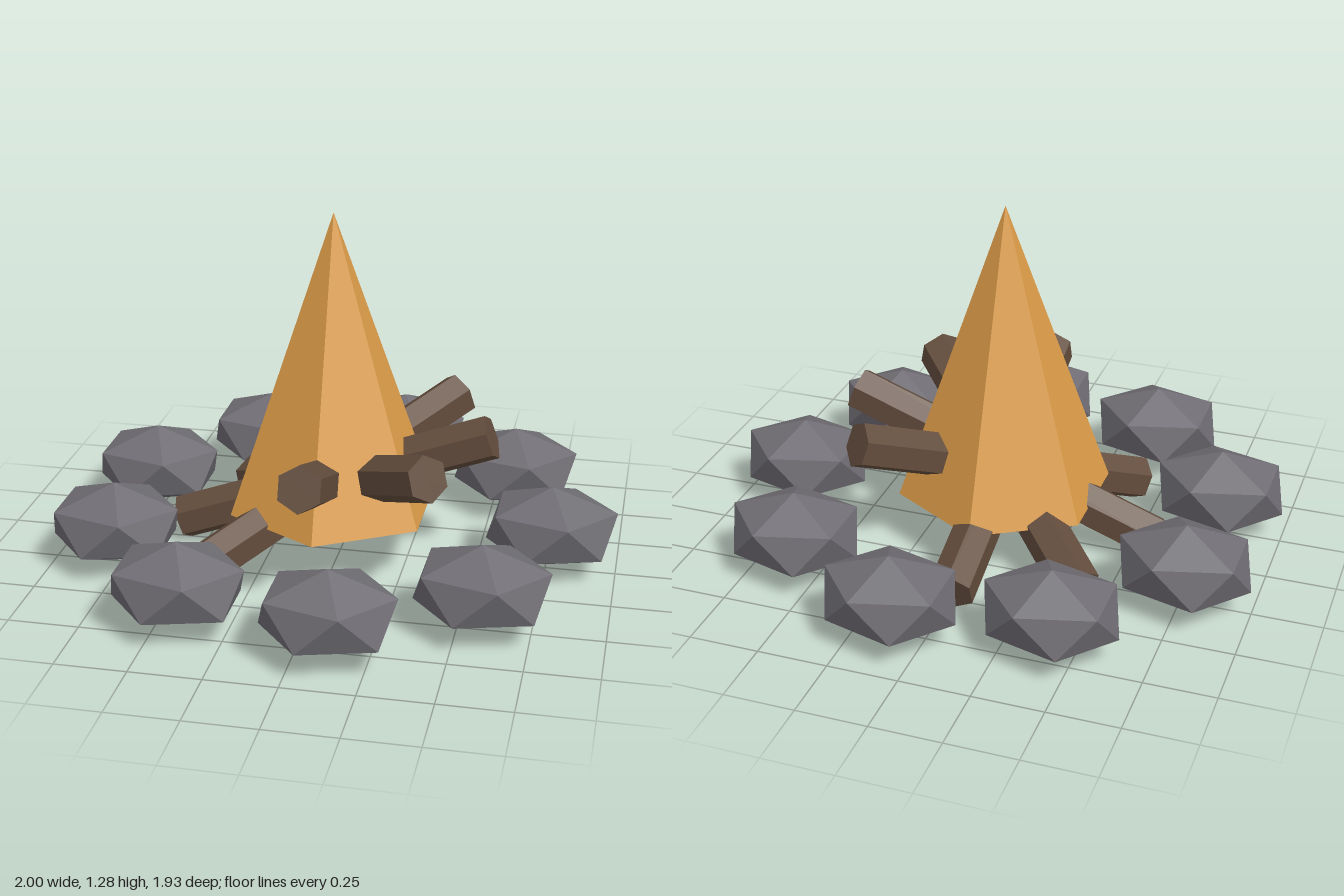
import * as THREE from 'three';

export function createModel() {
  const model = new THREE.Group();
  model.name = 'campfire';

  const material = (name, color) => {
    const m = new THREE.MeshStandardMaterial({ color, flatShading: true });
    m.name = name;
    return m;
  };
  const flameOrange = material('flameOrange', 0xdc9c48);
  const barkBrown = material('barkBrown', 0x624c3c);
  const stoneGrey = material('stoneGrey', 0x6f6d73);

  const cx = -0.024; // fire centre, so that the nine stones are centred overall

  const add = (name, geometry, mat, x, y, z) => {
    const mesh = new THREE.Mesh(geometry, mat);
    mesh.name = name;
    mesh.position.set(x, y, z);
    model.add(mesh);
    return mesh;
  };

  // Flame: six-sided cone
  const base = 0.197, tip = 1.28;
  add('flame', new THREE.ConeGeometry(0.389, tip - base, 6), flameOrange, cx, (base + tip) / 2, 0);

  // Logs: four long hexagonal beams crossing inside the flame, all tilted
  const logGeometry = new THREE.CylinderGeometry(0.083, 0.083, 1.21, 6);
  const tilt = THREE.MathUtils.degToRad(20);
  for (let i = 0; i < 4; i++) {
    const log = add(`log${i + 1}`, logGeometry, barkBrown, cx, 0.287, 0);
    log.rotation.set(Math.PI / 2 - tilt, (i * Math.PI) / 4, 0, 'YXZ');
  }

  // Stones: flattened icosahedra standing on a corner, in a ring of nine
  const stoneGeometry = new THREE.IcosahedronGeometry(1, 0)
    .rotateX(-Math.atan((1 + Math.sqrt(5)) / 2))
    .rotateY(Math.PI / 2)
    .scale(0.26, 0.152, 0.218);
  const ring = 0.79;
  for (let i = 0; i < 9; i++) {
    const a = (i / 9) * Math.PI * 2;
    add(`stone${i + 1}`, stoneGeometry, stoneGrey, cx + ring * Math.cos(a), 0.17, ring * Math.sin(a));
  }

  return model;
}
